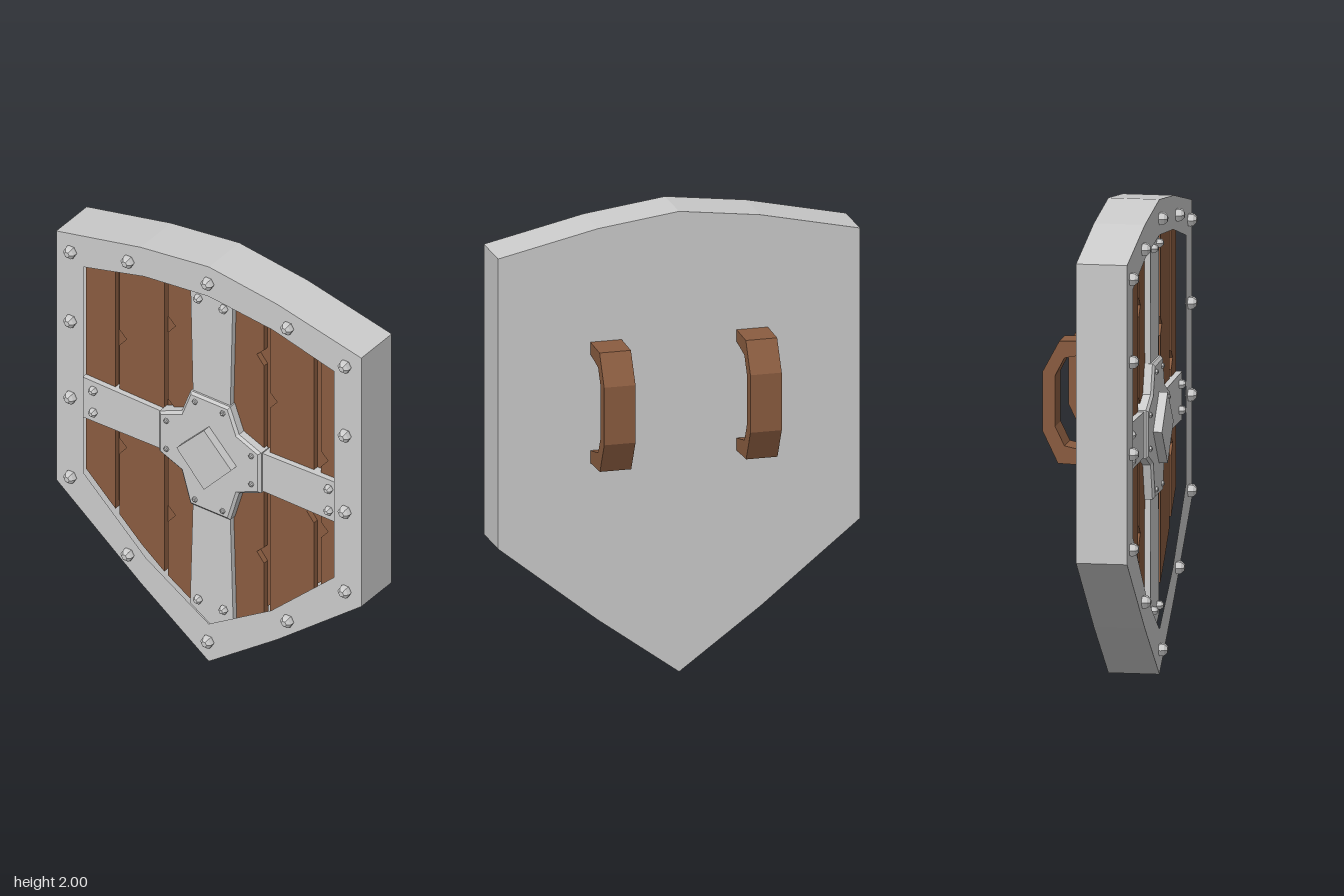
import * as THREE from 'three';

const BACK = -0.02, FRONT = 0.195;

// Right half outlines, top centre to bottom centre
const OUTER = [[0, 2], [0.35, 1.955], [0.78, 1.86], [0.78, 0.6], [0.35, 0.255], [0, 0]];
const INNER = [[0, 1.85], [0.33, 1.815], [0.64, 1.735], [0.64, 0.69], [0.32, 0.39], [0, 0.19]];

const mirrorX = (half) => [...half, ...half.slice(1, -1).reverse().map(([x, y]) => [-x, y])];
const toShape = (pts) => new THREE.Shape(pts.map(([x, y]) => new THREE.Vector2(x, y)));

// Prism between two depths
function slab(shape, z0, z1) {
  const g = new THREE.ExtrudeGeometry(shape, { depth: z1 - z0, bevelEnabled: false });
  return g.translate(0, 0, z0);
}

// Height of a half outline section at x
function heightAt(pts, x) {
  const ax = Math.abs(x);
  const i = ax < pts[1][0] ? 0 : 1;
  const [x0, y0] = pts[i], [x1, y1] = pts[i + 1];
  return y0 + (y1 - y0) * (ax - x0) / (x1 - x0);
}

export function createModel() {
  const root = new THREE.Group();
  const metal = new THREE.MeshStandardMaterial({ color: 0xcccccc, flatShading: true });
  const wood = new THREE.MeshStandardMaterial({ color: 0x8a5c40, flatShading: true });

  function add(name, geometry, material, parent = root) {
    const mesh = new THREE.Mesh(geometry, material);
    mesh.name = name;
    parent.add(mesh);
    return mesh;
  }
  function group(name) {
    const g = new THREE.Group();
    g.name = name;
    root.add(g);
    return g;
  }

  // Back plate and raised rim
  add('backPlate', slab(toShape(mirrorX(OUTER)), BACK, 0.09), metal);
  const rim = toShape(mirrorX(OUTER));
  rim.holes.push(new THREE.Path(mirrorX(INNER).map(([x, y]) => new THREE.Vector2(x, y))));
  add('rim', slab(rim, 0.09, FRONT), metal);

  // Wooden floor seen through the grooves
  add('grooveFloor', slab(toShape(mirrorX(INNER)), 0.09, 0.125), wood);

  // Planks with chipped edges; their ends are tucked into the rim
  const planks = group('planks');
  const bottomEdge = INNER.slice(3).reverse();
  const top = (x) => heightAt(INNER, x) + 0.03;
  const bottom = (x) => heightAt(bottomEdge, x) - 0.03;
  const chip = (edge, y, dir) => [[edge, y - 0.045], [edge + dir * 0.037, y], [edge, y + 0.035]];
  const PLANKS = [
    // left edge, right edge, chips on left, chips on right (heights, ascending)
    [-0.66, -0.51, [], []],
    [-0.49, -0.26, [0.87, 1.42], []],
    [-0.24, 0.25, [0.63, 1.17, 1.59], [0.62, 1.62]],
    [0.28, 0.505, [1.42], [0.93]],
    [0.54, 0.66, [0.87, 1.23], []],
  ];
  for (const [l, r, chipsL, chipsR] of PLANKS) {
    const mid = l < 0 && r > 0 ? 0 : (l + r) / 2;
    const pts = [
      [l, bottom(l)], [mid, bottom(mid)], [r, bottom(r)],
      ...chipsR.flatMap((y) => chip(r, y, -1)),
      [r, top(r)], [mid, top(mid)], [l, top(l)],
      ...chipsL.flatMap((y) => chip(l, y, 1)).sort((a, b) => b[1] - a[1]),
    ];
    add('plank', slab(toShape(pts), 0.12, 0.15), wood, planks);
  }

  // Cross bands, slightly flared towards the rim
  const cy = 1.055;
  add('verticalBand', slab(toShape(mirrorX([
    [0, 1.87], [0.108, 1.85], [0.095, 1.3], [0.095, 0.77], [0.11, 0.24], [0, 0.17],
  ])), 0.12, 0.175), metal);
  add('horizontalBand', slab(toShape(mirrorX([
    [0, cy + 0.095], [0.24, cy + 0.095], [0.66, cy + 0.103],
    [0.66, cy - 0.1], [0.24, cy - 0.095], [0, cy - 0.095],
  ])), 0.12, 0.175), metal);

  // Centre boss with a bevelled edge
  const boss = new THREE.ExtrudeGeometry(toShape(mirrorX([
    [0, 1.313], [0.093, 1.313], [0.137, 1.195], [0.248, 1.148],
    [0.248, 0.962], [0.137, 0.915], [0.093, 0.765], [0, 0.765],
  ])), {
    depth: 0.05, bevelEnabled: true, bevelThickness: 0.01,
    bevelSize: 0.012, bevelOffset: 0, bevelSegments: 1,
  });
  add('boss', boss.translate(0, 0, 0.133), metal);
  add('bossDiamond', slab(toShape([[0, 0.89], [0.14, 1.045], [0, 1.19], [-0.14, 1.045]]), 0.18, 0.23), metal);

  // Hexagonal studs with tapered heads, mirrored left and right
  function studs(name, positions, radius, z, height) {
    const profile = [
      [radius * 0.8, -0.01], [radius, height * 0.25], [radius * 0.9, height * 0.65],
      [radius * 0.45, height], [0, height],
    ].map(([r, y]) => new THREE.Vector2(r, y));
    const geometry = new THREE.LatheGeometry(profile, 6, Math.PI / 6).rotateX(Math.PI / 2);
    const parent = group(name + 's');
    for (const [x, y] of positions) {
      for (const side of x === 0 ? [1] : [1, -1]) {
        add(name, geometry, metal, parent).position.set(side * x, y, z);
      }
    }
  }
  studs('rimStud', [
    [0, 1.92], [0.408, 1.863], [0.702, 1.79], [0.702, 1.44],
    [0.702, 1.053], [0.702, 0.65], [0.408, 0.378], [0, 0.105],
  ], 0.03, FRONT, 0.035);
  studs('bandStud', [[0.065, 1.805], [0.065, 0.28], [0.602, 1.115], [0.602, 1.005]], 0.021, 0.175, 0.026);
  studs('bossStud', [[0.071, 1.287], [0.217, 1.13], [0.217, 0.988], [0.071, 0.792]], 0.013, 0.193, 0.011);

  // Rear grips: bracket profile (distance behind, height) swept across x
  const grip = toShape([
    [0.01, 1.465], [0.16, 1.46], [0.23, 1.33], [0.23, 1.08], [0.165, 0.945], [0.01, 0.94],
    [0.01, 0.992], [0.138, 1.02], [0.177, 1.1], [0.177, 1.315], [0.138, 1.39], [0.01, 1.415],
  ]);
  const gripGeometry = slab(grip, -0.0675, 0.0675).rotateY(Math.PI / 2);
  for (const side of [1, -1]) {
    add(side > 0 ? 'leftGrip' : 'rightGrip', gripGeometry, wood).position.x = side * 0.315;
  }

  return root;
}
